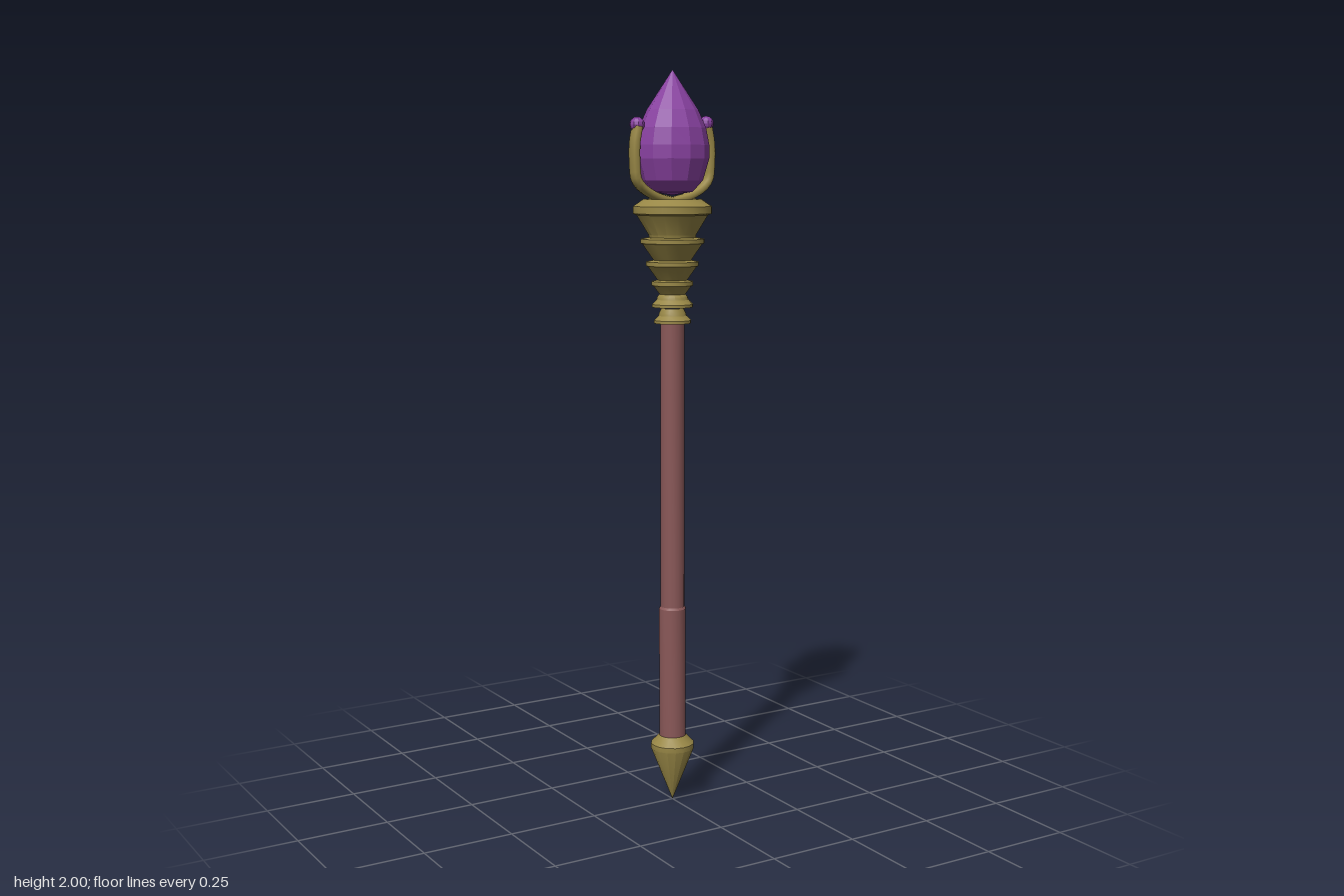
import * as THREE from 'three';
import { toCreasedNormals } from 'three/addons/utils/BufferGeometryUtils.js';

const brass = new THREE.MeshStandardMaterial({ color: 0x988746 });
const wood = new THREE.MeshStandardMaterial({ color: 0x8a5858 });
const gem = new THREE.MeshStandardMaterial({ color: 0x8a42a2, flatShading: true });

export function createModel() {
  const group = new THREE.Group();

  const add = (name, geometry, material) => {
    const mesh = new THREE.Mesh(geometry, material);
    mesh.name = name;
    group.add(mesh);
    return mesh;
  };
  // profile: [radius, y] pairs from bottom to top
  const lathe = (profile, sides) =>
    new THREE.LatheGeometry(profile.map(([r, y]) => new THREE.Vector2(r, y)), sides);
  const turned = (name, profile, material, sides = 16) =>
    add(name, toCreasedNormals(lathe(profile, sides), 0.5), material);

  // Pointed foot
  turned('footSpike', [[0, 0], [0.06, 0.152], [0.06, 0.166], [0.036, 0.19], [0, 0.19]], brass);

  // Shaft with a slightly thicker grip
  turned('grip', [[0, 0.18], [0.037, 0.18], [0.037, 0.55], [0.033, 0.556]], wood);
  turned('shaft', [[0.033, 0.54], [0.033, 1.36]], wood);

  // Two collars at the top of the shaft
  for (const [y, r] of [[1.333, 0.05], [1.376, 0.055]]) {
    turned('collar', [
      [0.03, y], [r, y + 0.002], [r, y + 0.01], [r - 0.012, y + 0.022],
      [r - 0.014, y + 0.03], [0.03, y + 0.042],
    ], brass);
  }

  // Stacked flared cups: [bottom y, rim y, bottom radius, rim radius]
  const cups = [
    [1.41, 1.433, 0.033, 0.056],
    [1.446, 1.485, 0.037, 0.071],
    [1.496, 1.545, 0.046, 0.086],
  ];
  for (const [y0, y1, r0, r1] of cups) {
    turned('flaredCup', [
      [0.02, y0 - 0.014], [r0, y0 - 0.014], [r0, y0], [r1 - 0.006, y1], [r1, y1 + 0.003], [r1, y1 + 0.014],
      [r1 - 0.02, y1 + 0.018], [0.02, y1 + 0.018],
    ], brass);
  }

  // Large cup carrying the crystal
  turned('crownCup', [
    [0.02, 1.55], [0.062, 1.555], [0.064, 1.57], [0.096, 1.622], [0.106, 1.626],
    [0.106, 1.645], [0.078, 1.664], [0.06, 1.662], [0.055, 1.645], [0, 1.645],
  ], brass);

  // Faceted drop crystal, narrower front to back
  const crystal = lathe([
    [0, 1.674], [0.055, 1.683], [0.083, 1.713], [0.1, 1.77], [0.1, 1.805],
    [0.091, 1.85], [0.07, 1.896], [0, 2],
  ], 12);
  crystal.scale(1, 1, 0.9);
  add('crystal', crystal, gem);

  // Curved prongs with bead tips
  for (const side of [1, -1]) {
    const path = new THREE.CatmullRomCurve3([
      [0, 1.658], [0.045, 1.669], [0.09, 1.692], [0.11, 1.715],
      [0.115, 1.75], [0.115, 1.81], [0.107, 1.852],
    ].map(([x, y]) => new THREE.Vector3(side * x, y, 0)));
    const tube = new THREE.TubeGeometry(path, 18, 0.012, 8, false);
    tube.scale(1, 1, 1.8);
    add(side > 0 ? 'leftProng' : 'rightProng', tube, brass);

    const bead = add(side > 0 ? 'leftBead' : 'rightBead', new THREE.SphereGeometry(0.02, 10, 8), gem);
    bead.position.set(side * 0.105, side > 0 ? 1.862 : 1.857, side > 0 ? 0 : -0.005);
  }

  return group;
}
